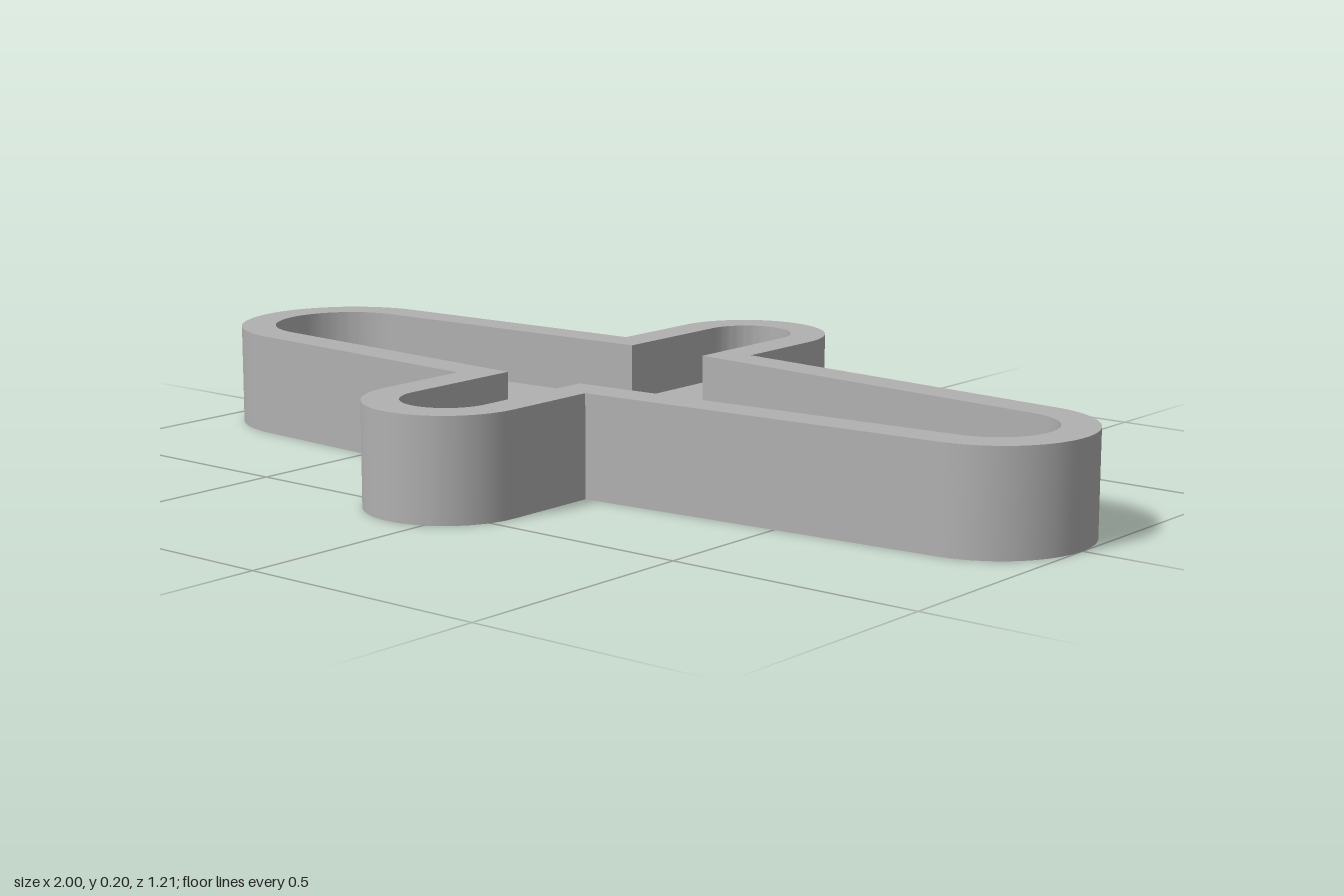
import * as THREE from 'three';
import { toCreasedNormals } from 'three/addons/utils/BufferGeometryUtils.js';

const HUB_X = -0.07;
const TOP = 0.2, POCKET = 0.09, RECESS = 0.04, LIP = 0.015;

// Four-armed outline, moved inward by `inset`
function armOutline(inset) {
  const rRight = 0.19 - inset, rLeft = 0.215 - inset, rCross = 0.16 - inset;
  const aRight = Math.PI / 2 - 0.08, aLeft = Math.PI / 2 - 0.061;
  const corner = 0.25 - inset * 0.93;
  const s = new THREE.Shape();
  s.absarc(0.81, 0, rRight, -aRight, aRight);
  s.lineTo(HUB_X + rCross, corner);
  s.absarc(HUB_X, 0.445, rCross, 0, Math.PI);
  s.lineTo(HUB_X - rCross, corner);
  s.absarc(-0.785, 0, rLeft, Math.PI - aLeft, Math.PI + aLeft);
  s.lineTo(HUB_X - rCross, -corner);
  s.absarc(HUB_X, -0.445, rCross, Math.PI, Math.PI * 2);
  s.lineTo(HUB_X + rCross, -corner);
  return s.getPoints(24);
}

function hubCircle(r, n = 64) {
  return Array.from({ length: n }, (_, i) => {
    const a = (i / n) * Math.PI * 2;
    return new THREE.Vector2(HUB_X + r * Math.cos(a), r * Math.sin(a));
  });
}

// Flat face at height y with one opening
function face(outer, inner, y, down = false) {
  const shape = new THREE.Shape(outer);
  shape.holes.push(new THREE.Path(inner));
  const g = new THREE.ShapeGeometry(shape);
  if (down) {
    g.scale(1, -1, 1);
    const index = g.index.array;
    for (let i = 0; i < index.length; i += 3) {
      [index[i], index[i + 1]] = [index[i + 1], index[i]];
    }
    // Mirroring reversed the corners; restore them, then flip the face over
    for (let i = 0; i < index.length; i += 3) {
      [index[i], index[i + 1]] = [index[i + 1], index[i]];
    }
    g.rotateX(-Math.PI / 2);
    g.computeVertexNormals();
  } else {
    g.rotateX(-Math.PI / 2);
  }
  return g.translate(0, y, 0);
}

// Upright band along a closed loop; inward bands face the loop's middle
function wall(loop, y0, y1, inward = false) {
  const pts = inward ? [...loop].reverse() : loop;
  const pos = [];
  pts.forEach((p, i) => {
    const q = pts[(i + 1) % pts.length];
    if (p.distanceTo(q) < 1e-6) return;
    pos.push(p.x, y0, -p.y, q.x, y0, -q.y, q.x, y1, -q.y);
    pos.push(p.x, y0, -p.y, q.x, y1, -q.y, p.x, y1, -p.y);
  });
  const g = new THREE.BufferGeometry();
  g.setAttribute('position', new THREE.Float32BufferAttribute(pos, 3));
  return toCreasedNormals(g, 0.5);
}

export function createModel() {
  const group = new THREE.Group();
  group.name = 'fourArmHorn';
  const grey = new THREE.MeshStandardMaterial({ color: 0xb0b0b0 });
  grey.name = 'grey';

  const add = (name, geometry) => {
    const mesh = new THREE.Mesh(geometry, grey);
    mesh.name = name;
    group.add(mesh);
  };

  const outer = armOutline(0);
  const pocket = armOutline(0.07);
  const recess = hubCircle(0.195);
  const bore = hubCircle(0.12);
  const counterbore = hubCircle(0.153);

  // Outer body
  add('outerWall', wall(outer, 0, TOP));
  add('rim', face(outer, pocket, TOP));
  add('underside', face(outer, counterbore, 0, true));

  // Pocket and round hub recess
  add('pocketWall', wall(pocket, POCKET, TOP, true));
  add('pocketFloor', face(pocket, recess, POCKET));
  add('recessWall', wall(recess, RECESS, POCKET, true));
  add('recessFloor', face(recess, bore, RECESS));

  // Through hole, stepped wider underneath
  add('boreWall', wall(bore, LIP, RECESS, true));
  add('counterboreWall', wall(counterbore, 0, LIP, true));
  add('counterboreFace', face(counterbore, bore, LIP, true));

  return group;
}
